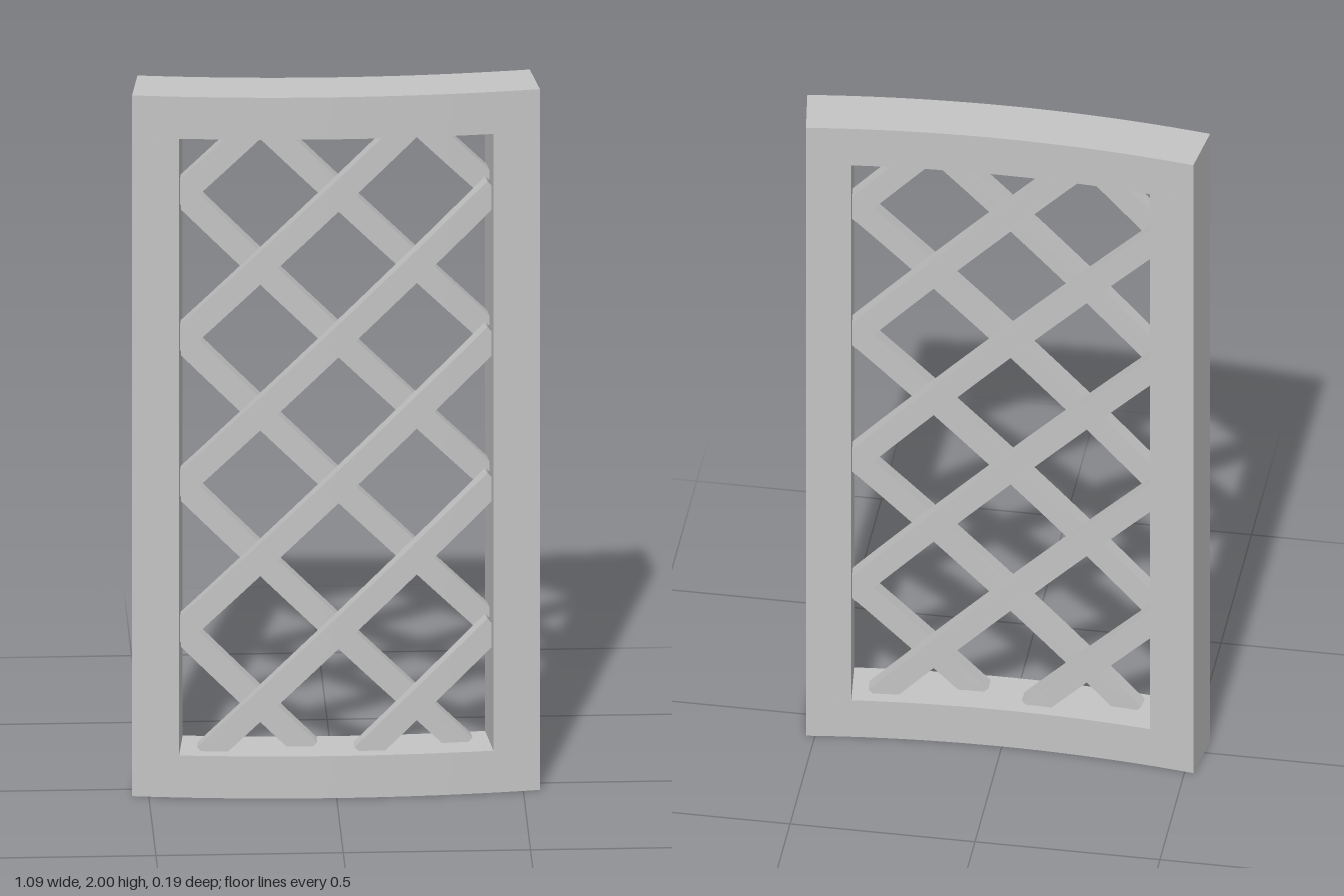
import * as THREE from 'three';

const R_FRONT = 3.93, R_BACK = 3.78, R_MID = 3.855; // radii of the curved panel
const CENTRE_Z = 0.09 - R_FRONT;                    // axis of curvature
const A_OUT = 0.139, A_IN = 0.107;                  // outer edge and opening, as angles
const Y_LOW = 0.12, Y_HIGH = 1.88, HEIGHT = 2;
const BAR_W = 0.066, BAR_T = 0.04, TRIM = 0.016;

// Moves each vertex of a unit box to a place (angle, y, radius) on the curved panel
function bend(geometry, place) {
  const p = geometry.attributes.position;
  for (let i = 0; i < p.count; i++) {
    const [a, y, r] = place(p.getX(i), p.getY(i), p.getZ(i));
    p.setXYZ(i, r * Math.sin(a), y, CENTRE_Z + r * Math.cos(a));
  }
  geometry.computeVertexNormals();
  return geometry;
}

const lerp = THREE.MathUtils.lerp;

// Curved frame member between two angles and two heights
function frameMember(a0, a1, y0, y1, segments) {
  return bend(new THREE.BoxGeometry(1, 1, 1, segments, 1, 1), (x, y, z) => [
    lerp(a0, a1, x + 0.5), lerp(y0, y1, y + 0.5), lerp(R_BACK, R_FRONT, z + 0.5),
  ]);
}

// Diagonal slat crossing the middle at height c, cut to the opening with trimmed tips;
// dir 1 rises to +x, dir -1 rises to -x
function slat(c, dir, rMid) {
  const q = Math.SQRT2, u = A_IN * R_MID, half = BAR_W / 2;
  const start = o => Math.max(-u * q + o, (Y_LOW - c) * q - o);
  const end = o => Math.min(u * q + o, (Y_HIGH - c) * q - o);
  const lines = [-half, -half + TRIM, half - TRIM, half];
  return bend(new THREE.BoxGeometry(1, 1, 1, 12, 3, 1), (x, y, z) => {
    const o = dir * lines[Math.round((y + 0.5) * 3)];
    const s0 = Math.max(start(o), start(0) - half + TRIM);
    const s1 = Math.min(end(o), end(0) + half - TRIM);
    const s = lerp(s0, s1, x + 0.5);
    return [dir * (s - o) / q / R_MID, c + (s + o) / q, rMid + z * BAR_T];
  });
}

export function createModel() {
  const model = new THREE.Group();
  model.name = 'curvedLatticePanel';
  const grey = new THREE.MeshStandardMaterial({ color: 0xc4c4c4 });
  grey.name = 'plainGrey';

  const add = (parent, name, geometry) => {
    const mesh = new THREE.Mesh(geometry, grey);
    mesh.name = name;
    parent.add(mesh);
  };

  // Surrounding frame
  const frame = new THREE.Group();
  frame.name = 'frame';
  add(frame, 'bottomRail', frameMember(-A_OUT, A_OUT, 0, Y_LOW, 20));
  add(frame, 'topRail', frameMember(-A_OUT, A_OUT, Y_HIGH, HEIGHT, 20));
  add(frame, 'leftStile', frameMember(A_IN, A_OUT, Y_LOW, Y_HIGH, 3));
  add(frame, 'rightStile', frameMember(-A_OUT, -A_IN, Y_LOW, Y_HIGH, 3));
  model.add(frame);

  // Two layers of crossing slats
  const lattice = new THREE.Group();
  lattice.name = 'lattice';
  for (let i = 0; i < 6; i++) {
    const c = 0.036 + 0.416 * i;
    add(lattice, 'frontSlat', slat(c, 1, R_MID + BAR_T / 2));
    add(lattice, 'backSlat', slat(c, -1, R_MID - BAR_T / 2));
  }
  model.add(lattice);
  return model;
}
